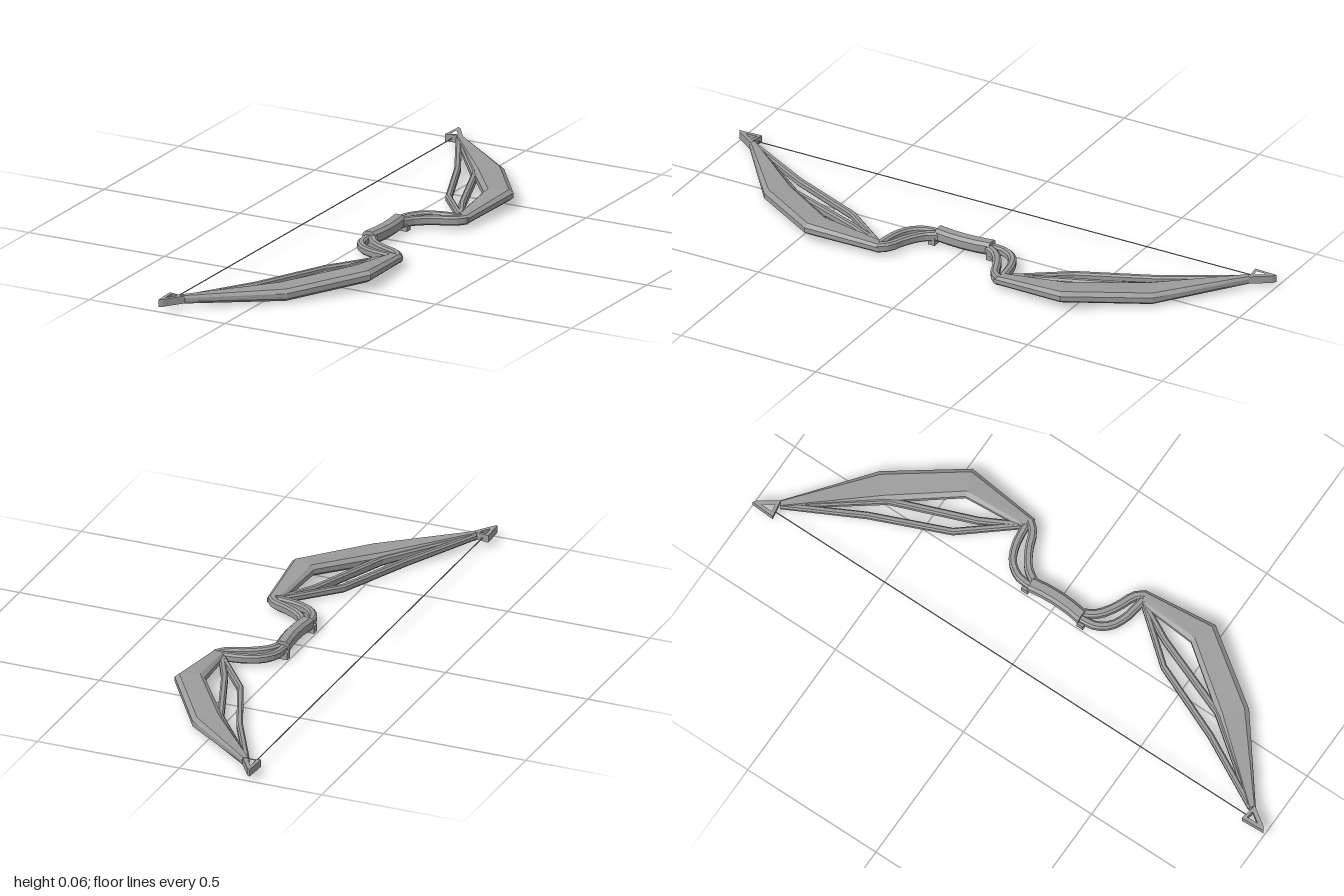
import * as THREE from 'three';

const grey = new THREE.MeshStandardMaterial({ color: 0x9c9c9c });
grey.name = 'grey';

// Lofts a chamfered bar through stations {a:[x,z], b:[x,z], lo, hi, cu, cy}.
// a and b are the two side edges; cu and cy are the chamfer sizes across and in height.
function loft(stations, s = 1) {
  const pos = [], index = [], n = 8;
  for (const { a, b, lo, hi, cu = 0.006, cy = 0.008 } of stations) {
    const f = Math.min(0.45, cu / Math.hypot(b[0] - a[0], b[1] - a[1]));
    const ring = [[f, lo], [1 - f, lo], [1, lo + cy], [1, hi - cy], [1 - f, hi], [f, hi], [0, hi - cy], [0, lo + cy]];
    for (const [u, y] of ring) pos.push(a[0] + (b[0] - a[0]) * u, y, s * (a[1] + (b[1] - a[1]) * u));
  }
  const tri = (i, j, k) => (s > 0 ? index.push(i, j, k) : index.push(i, k, j));
  const last = (stations.length - 1) * n;
  for (let r = 0; r < last; r += n) {
    for (let i = 0; i < n; i++) {
      const j = (i + 1) % n;
      tri(r + i, r + j, r + n + j);
      tri(r + i, r + n + j, r + n + i);
    }
  }
  for (let i = 1; i < n - 1; i++) {
    tri(0, i + 1, i);
    tri(last, last + i, last + i + 1);
  }
  const g = new THREE.BufferGeometry();
  g.setAttribute('position', new THREE.Float32BufferAttribute(pos, 3));
  g.setIndex(index);
  const flat = g.toNonIndexed();
  flat.computeVertexNormals();
  return flat;
}

// Stations for a bar of even width along points [x, z, lo, hi]
function bar(points, width) {
  return points.map(([x, z, lo, hi], i) => {
    const p = points[Math.max(0, i - 1)], q = points[Math.min(points.length - 1, i + 1)];
    const t = new THREE.Vector2(q[0] - p[0], q[1] - p[1]).normalize().multiplyScalar(width / 2);
    return { a: [x - t.y, z + t.x], b: [x + t.y, z - t.x], lo, hi, cu: width * 0.25, cy: 0.006 };
  });
}

// Smooth curve in plan, sampled into bar points of constant height
function curved(pts, lo, hi, count = 9) {
  const c = new THREE.CatmullRomCurve3(pts.map(([x, z]) => new THREE.Vector3(x, 0, z)));
  return c.getPoints(count).map((p) => [p.x, p.z, lo, hi]);
}

function add(parent, name, geometry) {
  const m = new THREE.Mesh(geometry, grey);
  m.name = name;
  parent.add(m);
  return m;
}

function buildHalf(s) {
  const half = new THREE.Group();
  half.name = s > 0 ? 'frontHalf' : 'backHalf';

  // Broad outer limb
  add(half, 'limb', loft([
    { a: [0.175, 0.235], b: [0.222, 0.215], lo: 0.016, hi: 0.046, cu: 0.01 },
    { a: [0.155, 0.44], b: [0.246, 0.475], lo: 0.026, hi: 0.065, cu: 0.015, cy: 0.011 },
    { a: [0.0, 0.652], b: [0.075, 0.722], lo: 0.006, hi: 0.046, cu: 0.015, cy: 0.011 },
    { a: [-0.21, 0.915], b: [-0.188, 0.928], lo: 0.018, hi: 0.045, cu: 0.005 },
  ], s));

  // Two slim braces inside the limb
  add(half, 'outerBrace', loft(bar([
    [0.185, 0.235, 0.018, 0.042], [0.042, 0.412, 0.008, 0.034],
    [-0.068, 0.67, 0.01, 0.036], [-0.2, 0.917, 0.02, 0.042],
  ], 0.021), s));
  add(half, 'innerBrace', loft(bar([
    [0.18, 0.245, 0.018, 0.042], [0.118, 0.365, 0.01, 0.038],
    [0.01, 0.645, 0.008, 0.038], [-0.198, 0.918, 0.02, 0.042],
  ], 0.022), s));

  // Paired curved riser bars between grip and limb
  add(half, 'riserOuterBar', loft(bar(curved(
    [[0.044, 0.095], [0.07, 0.135], [0.125, 0.172], [0.185, 0.198], [0.21, 0.228]], 0.016, 0.047), 0.028), s));
  add(half, 'riserInnerBar', loft(bar(curved(
    [[0.026, 0.1], [0.032, 0.15], [0.062, 0.192], [0.115, 0.217], [0.19, 0.228]], 0.016, 0.045), 0.026), s));

  // Clamp under the end of the grip
  const clamp = add(half, 'gripClamp', new THREE.BoxGeometry(0.058, 0.026, 0.024));
  clamp.position.set(0.034, 0.016, s * 0.108);

  // Triangular tip loop that holds the string
  const shape = new THREE.Shape([[-0.25, 0.916], [-0.19, 0.926], [-0.234, 0.99], [-0.246, 0.998]]
    .map(([x, z]) => new THREE.Vector2(x, s * z)));
  shape.holes.push(new THREE.Path([[-0.237, 0.928], [-0.212, 0.933], [-0.236, 0.968]]
    .map(([x, z]) => new THREE.Vector2(x, s * z))));
  const tip = new THREE.ExtrudeGeometry(shape, { depth: 0.025, bevelEnabled: false });
  tip.rotateX(Math.PI / 2).translate(0, 0.044, 0);
  add(half, 'tipLoop', tip);
  return half;
}

export function createModel() {
  const bow = new THREE.Group();
  bow.name = 'bow';
  bow.add(buildHalf(1), buildHalf(-1));

  // Slightly bowed grip
  add(bow, 'grip', loft([-0.1, -0.05, 0, 0.05, 0.1].map((z) => {
    const bulge = 0.009 * (1 - (z / 0.1) ** 2);
    return { a: [0.008 + bulge, z], b: [0.054 + bulge, z], lo: 0.012, hi: 0.057, cu: 0.01, cy: 0.01 };
  })));

  // Taut string
  const string = add(bow, 'string', new THREE.CylinderGeometry(0.002, 0.002, 1.85, 6));
  string.rotation.x = Math.PI / 2;
  string.position.set(-0.228, 0.031, 0);
  return bow;
}
